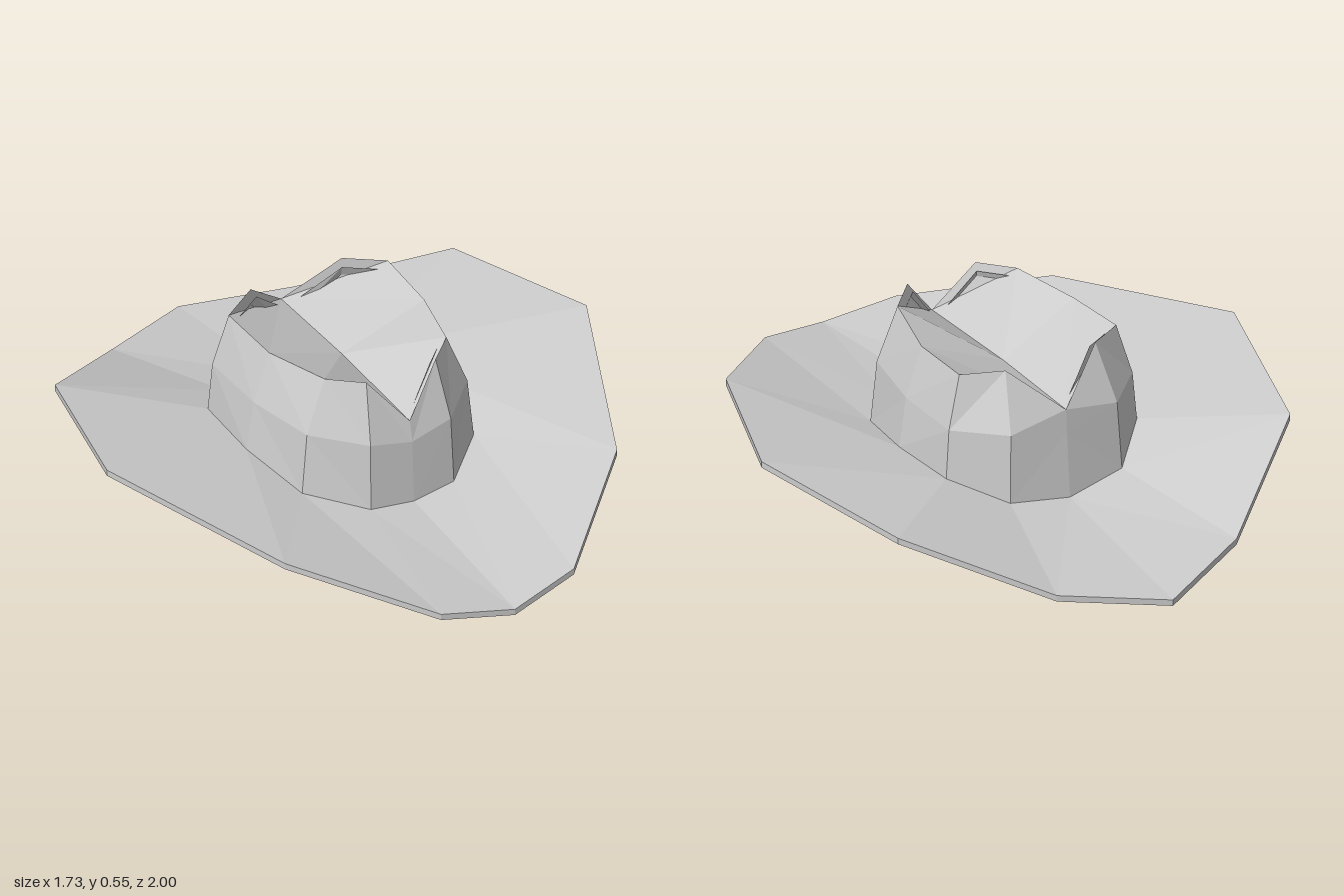
import * as THREE from 'three';

// Half rings: seven [x, y, z] points from front centre, round the left side, to back centre.
const brimEdge = [[0, 0.06, 1], [0.24, 0.1, 0.955], [0.6, 0.222, 0.62], [0.867, 0.305, 0], [0.72, 0.25, -0.55], [0.33, 0.07, -0.85], [0, 0.025, -1]];
const crownBase = [[0, 0.115, 0.4], [0.15, 0.13, 0.39], [0.31, 0.163, 0.245], [0.362, 0.203, 0], [0.35, 0.205, -0.25], [0.205, 0.14, -0.39], [0, 0.11, -0.412]];
const crownMid = [[0, 0.33, 0.39], [0.145, 0.36, 0.38], [0.29, 0.37, 0.24], [0.337, 0.37, 0], [0.337, 0.37, -0.245], [0.195, 0.37, -0.378], [0, 0.33, -0.395]];
const crownTop = [[0, 0.4, 0.375], [0.125, 0.556, 0.322], [0.22, 0.55, 0.23], [0.28, 0.535, 0], [0.288, 0.545, -0.228], [0.165, 0.556, -0.3], [0, 0.41, -0.39]];
// The crown folds down into a crease along the middle.
const front = crownTop[0], back = crownTop[6], middle = [0, 0.415, -0.03];
const crease = [front, front, front, middle, back, back, back];

const lower = (ring, d) => ring.map(([x, y, z]) => [x, y - d, z]);
const inset = (ring, s, d) => ring.map(([x, y, z]) => [x * s, y - d, z * s]);

const material = new THREE.MeshStandardMaterial({ color: 0xcccccc, flatShading: true });

// Skin a sequence of half rings and mirror the result across x.
function skin(name, rings) {
  const pos = [];
  const same = (p, q) => p.every((v, k) => Math.abs(v - q[k]) < 1e-6);
  const tri = (a, b, c) => {
    if (same(a, b) || same(b, c) || same(a, c)) return;
    pos.push(...a, ...b, ...c);
    for (const [x, y, z] of [a, c, b]) pos.push(-x, y, z);
  };
  for (let r = 0; r < rings.length - 1; r++) {
    const a = rings[r], b = rings[r + 1];
    for (let i = 0; i < a.length - 1; i++) {
      tri(a[i], a[i + 1], b[i + 1]);
      tri(a[i], b[i + 1], b[i]);
    }
  }
  const geometry = new THREE.BufferGeometry();
  geometry.setAttribute('position', new THREE.Float32BufferAttribute(pos, 3));
  geometry.computeVertexNormals();
  const mesh = new THREE.Mesh(geometry, material);
  mesh.name = name;
  return mesh;
}

export function createModel() {
  const hat = new THREE.Group();
  hat.name = 'hat';
  const opening = inset(crownBase, 0.97, 0.02);

  // Curled brim: underside, thin rim and upper face
  hat.add(skin('brim', [opening, lower(brimEdge, 0.021), brimEdge, crownBase]));

  // Pinched crown with its centre crease
  hat.add(skin('crown', [crownBase, crownMid, crownTop, crease]));

  // Hollow inside of the crown
  hat.add(skin('lining', [inset(crease, 0.94, 0.02), inset(crownTop, 0.94, 0.02), inset(crownMid, 0.95, 0.01), opening]));
  return hat;
}
